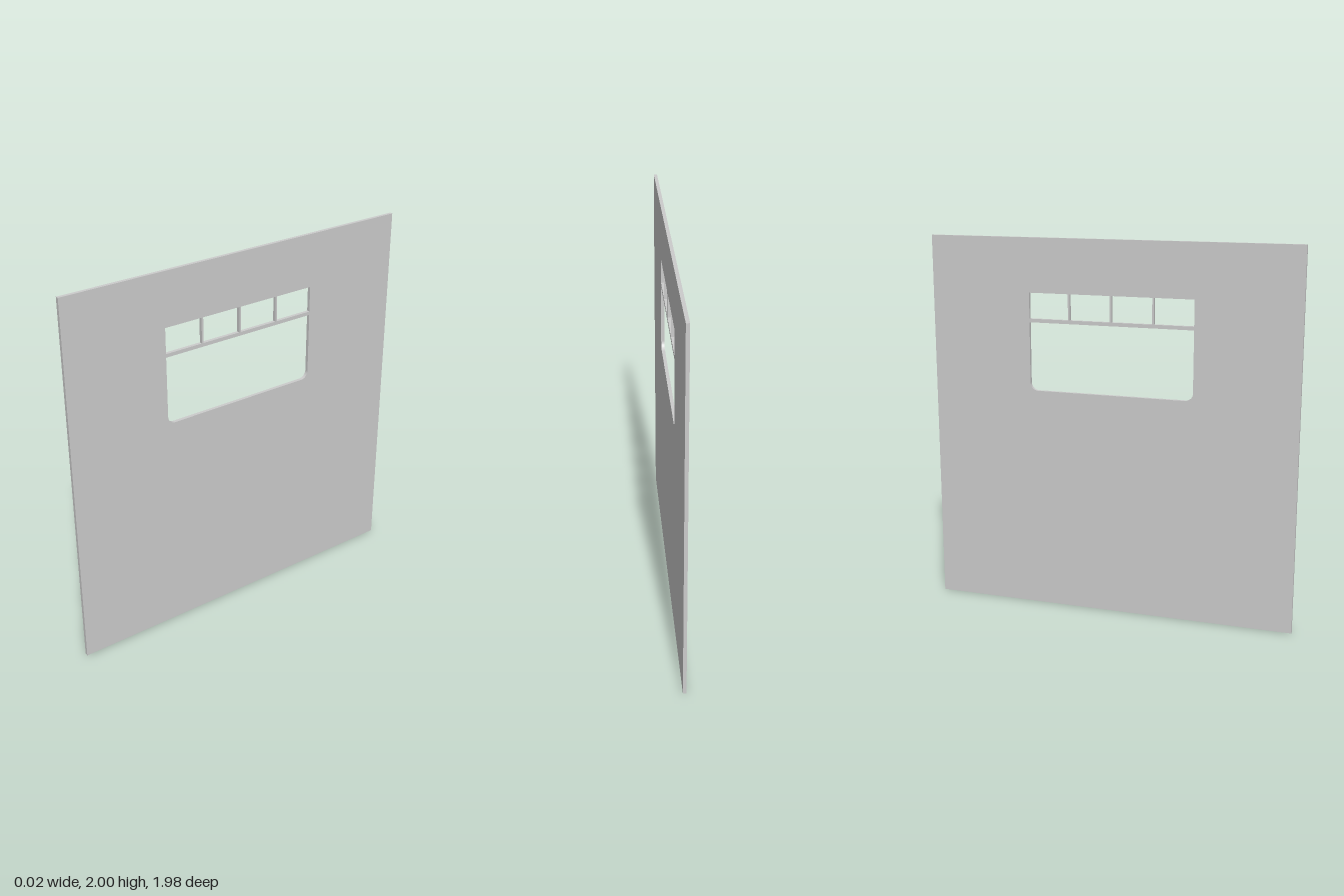
import * as THREE from 'three';

const T = 0.018;                       // wall thickness
const W = 0.99, H = 2;                 // wall half width and height
const win = { half: 0.443, bottom: 1.196, top: 1.715, radius: 0.042 };
const rail = { bottom: 1.56, top: 1.579 };

export function createModel() {
  const group = new THREE.Group();
  const material = new THREE.MeshStandardMaterial({ color: 0xcccccc });
  const add = (name, geometry) => {
    const mesh = new THREE.Mesh(geometry, material);
    mesh.name = name;
    group.add(mesh);
    return mesh;
  };

  // Wall panel with a window opening, rounded at its lower corners
  const wall = new THREE.Shape();
  wall.moveTo(-W, 0).lineTo(W, 0).lineTo(W, H).lineTo(-W, H).closePath();

  const { half: h, bottom: b, top: t, radius: r } = win;
  const opening = new THREE.Path();
  opening.moveTo(-h, t).lineTo(-h, b + r);
  opening.absarc(-h + r, b + r, r, Math.PI, Math.PI * 1.5, false);
  opening.lineTo(h - r, b);
  opening.absarc(h - r, b + r, r, Math.PI * 1.5, Math.PI * 2, false);
  opening.lineTo(h, t).closePath();
  wall.holes.push(opening);

  const panel = new THREE.ExtrudeGeometry(wall, { depth: T, bevelEnabled: false, curveSegments: 8 });
  panel.translate(0, 0, -T / 2).rotateY(Math.PI / 2);
  add('wallPanel', panel);

  // Horizontal rail dividing the large pane from the small top panes
  add('windowRail', new THREE.BoxGeometry(T, rail.top - rail.bottom, 2 * h))
    .position.y = (rail.top + rail.bottom) / 2;

  // Three short mullions making four small panes
  [-0.224, 0.003, 0.229].forEach((z, i) => {
    add(`mullion${i + 1}`, new THREE.BoxGeometry(T, t - rail.top, 0.01))
      .position.set(0, (t + rail.top) / 2, z);
  });

  return group;
}
